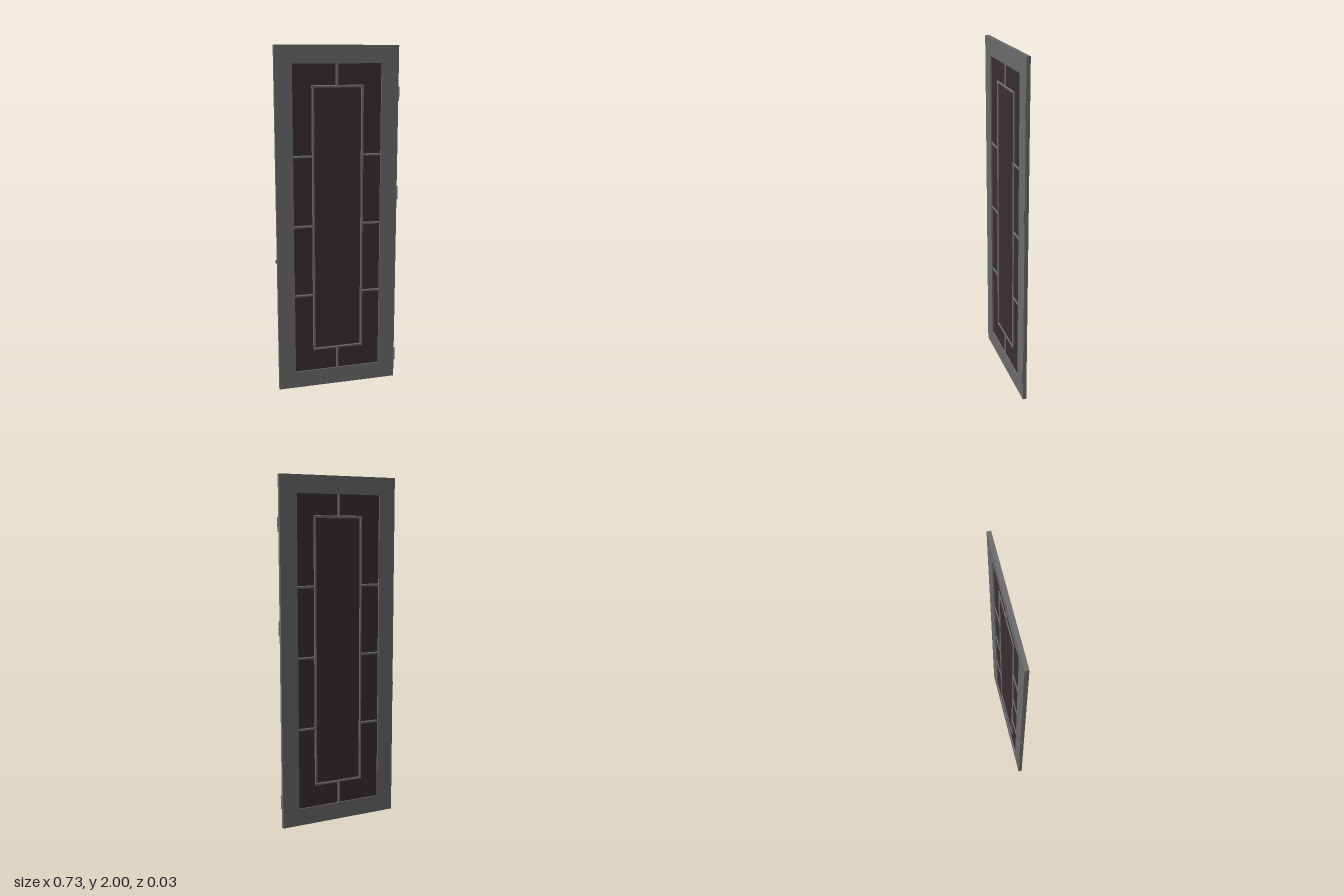
import * as THREE from 'three';

const metal = new THREE.MeshStandardMaterial({ color: 0x6b6b6b });
const flatMetal = new THREE.MeshStandardMaterial({ color: 0x6b6b6b, flatShading: true });
const glass = new THREE.MeshStandardMaterial({ color: 0x3a2e31 });

const Z = -0.005; // middle of the door's thickness
const CX = 0.002; // middle of the door's width
const W = 0.718, H = 2, T = 0.022;
const OPEN = { x0: -0.257, x1: 0.259, y0: 0.1, y1: 1.9 };
const INNER = { x0: -0.14, x1: 0.149, y0: 0.231, y1: 1.775 };
const BAR = 0.016;

function add(parent, name, geometry, material, x = 0, y = 0, z = 0) {
  const mesh = new THREE.Mesh(geometry, material);
  mesh.name = name;
  mesh.position.set(x, y, z);
  parent.add(mesh);
  return mesh;
}

function rectangle(Type, x0, y0, x1, y1) {
  return new Type([[x0, y0], [x1, y0], [x1, y1], [x0, y1]].map(p => new THREE.Vector2(...p)));
}

// Eight-sided glazing bar between two points in the plane of the glass
function bar(parent, name, x0, y0, x1, y1) {
  const length = Math.hypot(x1 - x0, y1 - y0);
  const radius = BAR / 2 / Math.cos(Math.PI / 8);
  const geometry = new THREE.CylinderGeometry(radius, radius, length, 8);
  geometry.rotateY(Math.PI / 8);
  const mesh = add(parent, name, geometry, flatMetal, (x0 + x1) / 2, (y0 + y1) / 2, Z);
  mesh.rotation.z = Math.atan2(y1 - y0, x1 - x0) - Math.PI / 2;
}

export function createModel() {
  const door = new THREE.Group();
  door.name = 'door';

  // Frame with one large opening
  const outline = rectangle(THREE.Shape, CX - W / 2, 0, CX + W / 2, H);
  outline.holes.push(rectangle(THREE.Path, OPEN.x0, OPEN.y0, OPEN.x1, OPEN.y1));
  const frame = new THREE.ExtrudeGeometry(outline, { depth: T, bevelEnabled: false });
  add(door, 'frame', frame, metal, 0, 0, Z - T / 2);

  // Glass pane, let slightly into the frame
  const pane = new THREE.BoxGeometry(OPEN.x1 - OPEN.x0 + 0.01, OPEN.y1 - OPEN.y0 + 0.01, 0.006);
  add(door, 'glassPane', pane, glass, (OPEN.x0 + OPEN.x1) / 2, 1, Z);

  // Glazing bars: inner rectangle, then spokes out to the frame
  const bars = new THREE.Group();
  bars.name = 'glazingBars';
  door.add(bars);
  const e = BAR / 2;
  for (const x of [INNER.x0, INNER.x1]) bar(bars, 'innerStile', x, INNER.y0 - e, x, INNER.y1 + e);
  for (const y of [INNER.y0, INNER.y1]) bar(bars, 'innerRail', INNER.x0 - e, y, INNER.x1 + e, y);
  for (const y of [0.57, 0.984, 1.387]) {
    bar(bars, 'sideBar', OPEN.x0, y, INNER.x0, y);
    bar(bars, 'sideBar', INNER.x1, y, OPEN.x1, y);
  }
  bar(bars, 'bottomBar', 0, OPEN.y0, 0, INNER.y0);
  bar(bars, 'topBar', 0, INNER.y1, 0, OPEN.y1);

  // Hinges: knuckles around a pin, with a thin leaf on the door edge
  for (const y of [0.15, 1.16, 1.73]) {
    const hinge = new THREE.Group();
    hinge.name = 'hinge';
    hinge.position.set(0.361, y, 0.01);
    door.add(hinge);
    add(hinge, 'hingePin', new THREE.CylinderGeometry(0.0025, 0.0025, 0.08, 12), metal);
    for (const k of [-1, 0, 1]) {
      add(hinge, 'hingeKnuckle', new THREE.CylinderGeometry(0.004, 0.004, 0.024, 16), metal, 0, k * 0.027);
    }
    add(hinge, 'hingeLeaf', new THREE.BoxGeometry(0.002, 0.078, 0.018), metal, -0.0005, 0, -0.009);
  }

  // Wedge-shaped latch bolt on the opposite edge
  const wedge = new THREE.Shape([
    new THREE.Vector2(-0.367, 0.003),
    new THREE.Vector2(-0.35, 0.003),
    new THREE.Vector2(-0.35, 0.014),
    new THREE.Vector2(-0.357, 0.014),
  ]);
  const bolt = new THREE.ExtrudeGeometry(wedge, { depth: 0.02, bevelEnabled: false });
  bolt.rotateX(-Math.PI / 2);
  add(door, 'latchBolt', bolt, metal, 0, 0.78, 0);

  return door;
}
